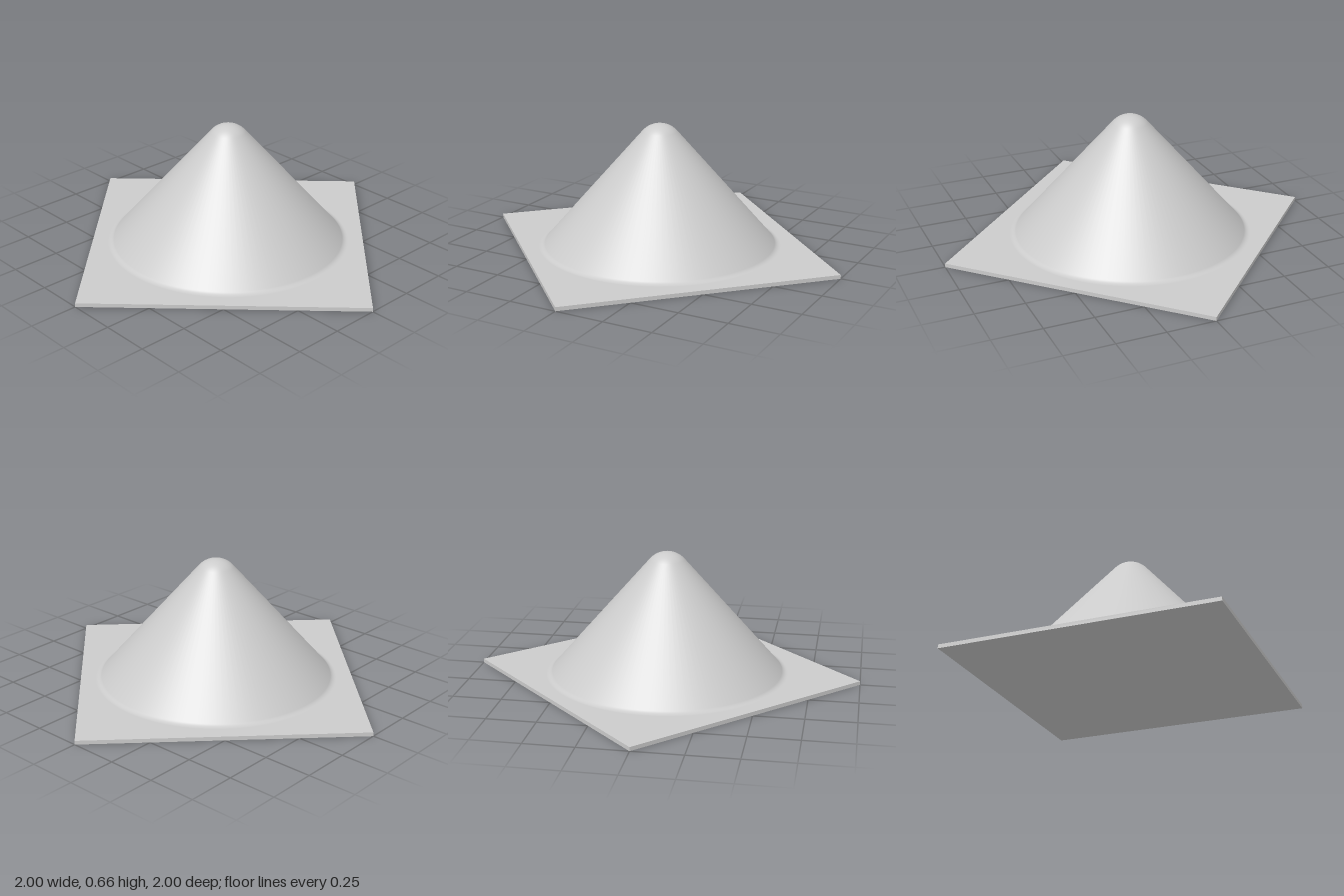
import * as THREE from 'three';

const PLATE = 0.02;                         // plate thickness
const SLOPE = THREE.MathUtils.degToRad(49); // steepness of the cone wall
const TIP_R = 0.12, TIP_Y = 0.54;           // rounded tip: radius and centre height
const FILLET_R = 0.04;                      // blend between cone and plate

// Points along a circular arc
function arc(cx, cy, r, from, to, steps) {
  return Array.from({ length: steps + 1 }, (_, i) => {
    const a = from + (to - from) * i / steps;
    return new THREE.Vector2(Math.max(0, cx + r * Math.cos(a)), cy + r * Math.sin(a));
  });
}

export function createModel() {
  const group = new THREE.Group();
  const material = new THREE.MeshStandardMaterial({ color: 0xcccccc });

  // Thin square plate, turned corner to the front
  const plate = new THREE.Mesh(new THREE.BoxGeometry(Math.SQRT2, PLATE, Math.SQRT2), material);
  plate.name = 'basePlate';
  plate.rotation.y = Math.PI / 4;
  plate.position.y = PLATE / 2;
  group.add(plate);

  // Cone: fillet at the foot, straight wall, rounded tip
  const down = -Math.PI / 2;
  const profile = [
    ...arc(0.629, PLATE + FILLET_R, FILLET_R, down, down - SLOPE, 8),
    ...arc(0, TIP_Y, TIP_R, Math.PI / 2 - SLOPE, Math.PI / 2, 12),
  ];
  const cone = new THREE.Mesh(new THREE.LatheGeometry(profile, 96), material);
  cone.name = 'roundedCone';
  group.add(cone);

  return group;
}
